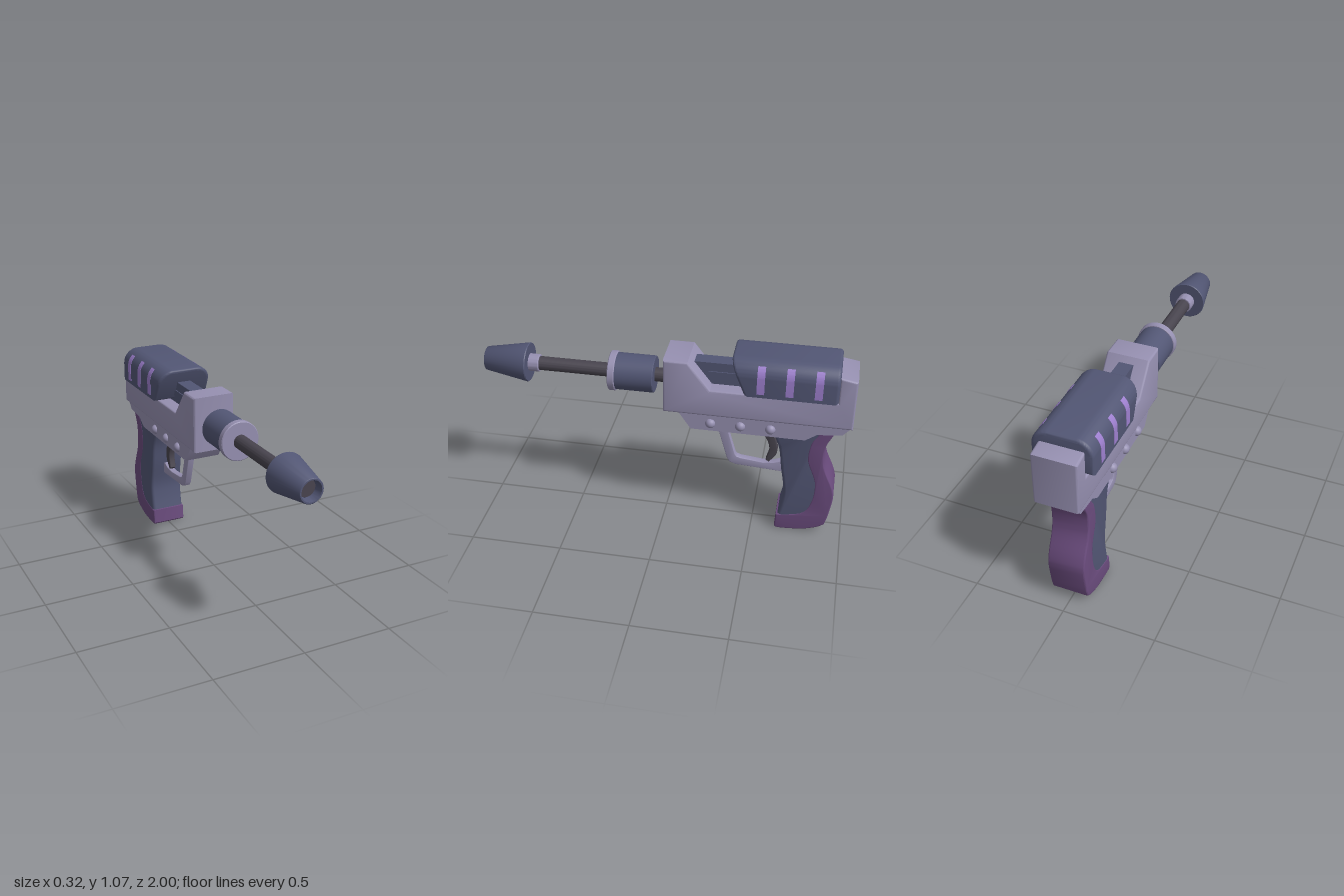
import * as THREE from 'three';
import { toCreasedNormals } from 'three/addons/utils/BufferGeometryUtils.js';

const material = (name, color) => {
  const m = new THREE.MeshStandardMaterial({ color });
  m.name = name;
  return m;
};

export function createModel() {
  const model = new THREE.Group();
  model.name = 'toyBlaster';
  const lavender = material('pale lavender', 0x9690b1);
  const blue = material('slate blue', 0x525674);
  const purple = material('grip purple', 0x6b4c7e);
  const violet = material('bright violet', 0x9d7fce);
  const dark = material('dark metal', 0x48444e);

  const add = (name, geometry, mat) => {
    const mesh = new THREE.Mesh(geometry, mat);
    mesh.name = name;
    model.add(mesh);
    return mesh;
  };
  const vectors = (points) => points.map(([a, b]) => new THREE.Vector2(a, b));
  const smooth = (points, n = 24) => new THREE.SplineCurve(vectors(points)).getPoints(n).map((p) => [p.x, p.y]);

  // Side outline in (z, y), extruded across x about the centre plane
  const slab = (name, outline, half, bevel, mat) => {
    const g = new THREE.ExtrudeGeometry(new THREE.Shape(vectors(outline)), {
      depth: 2 * (half - bevel), bevelEnabled: bevel > 0, bevelThickness: bevel,
      bevelSize: bevel, bevelOffset: -bevel, bevelSegments: 3,
    });
    g.translate(0, 0, bevel - half);
    g.rotateY(-Math.PI / 2);
    return add(name, toCreasedNormals(g, 0.6), mat);
  };

  // Turned part along the barrel axis, profile in (radius, z)
  const AXIS = 0.865;
  const turned = (name, profile, mat) => {
    const g = new THREE.LatheGeometry(vectors(profile), 40);
    g.rotateX(Math.PI / 2);
    g.translate(0, AXIS, 0);
    return add(name, toCreasedNormals(g, 0.7), mat);
  };
  const drum = (name, r, z0, z1, mat, c = 0.004) =>
    turned(name, [[0, z0], [r - c, z0], [r, z0 + c], [r, z1 - c], [r - c, z1], [0, z1]], mat);

  // Body with a notch in its top, and the narrower frame below
  slab('body', [
    [0, 0.71], [0, 1.02], [-0.13, 1.02], [-0.25, 0.865], [-0.91, 0.865],
    [-0.91, 1.012], [-1, 0.997], [-1, 0.71],
  ], 0.119, 0.012, lavender);
  slab('lowerFrame', [
    [-0.07, 0.73], [-0.08, 0.71], [-0.15, 0.61], [-0.76, 0.61], [-0.82, 0.652],
    [-0.95, 0.665], [-0.99, 0.71], [-0.98, 0.73],
  ], 0.102, 0, lavender);
  for (const side of [1, -1]) {
    for (const z of [-0.255, -0.415, -0.575]) {
      add('stud', new THREE.SphereGeometry(0.028, 20, 14), lavender).position.set(side * 0.097, 0.655, z);
    }
  }

  // Rail in the notch, with a rib on each flank
  slab('rail', [[-0.14, 0.85], [-0.155, 0.99], [-0.88, 0.99], [-0.905, 0.85]], 0.04, 0, blue);
  slab('railRib', [[-0.23, 0.905], [-0.23, 0.94], [-0.6, 0.94], [-0.6, 0.905]], 0.046, 0, blue);

  // Top cover: rounded section along z, with a raked front
  const W = 0.16, TOP = 1.07, LOW = 0.88, R = 0.09, B = 0.018;
  const section = new THREE.Shape();
  section.moveTo(-W, LOW);
  section.lineTo(W, LOW);
  section.lineTo(W, TOP - R);
  section.absarc(W - R, TOP - R, R, 0, Math.PI / 2);
  section.absarc(R - W, TOP - R, R, Math.PI / 2, Math.PI);
  section.closePath();
  const cover = new THREE.ExtrudeGeometry(section, {
    depth: 0.56 - 2 * B, bevelThickness: B, bevelSize: B, bevelOffset: -B, bevelSegments: 4, curveSegments: 10,
  });
  cover.translate(0, 0, B - 0.912);
  const p = cover.attributes.position;
  for (let i = 0; i < p.count; i++) {
    if (p.getZ(i) > -0.6) p.setZ(i, p.getZ(i) - (TOP - p.getY(i)) * 0.42);
  }
  add('topCover', toCreasedNormals(cover, 0.6), blue);

  // Violet vents wrapping over the cover's shoulders
  const T = 0.004, SWEEP = 0.85;
  const vent = new THREE.Shape();
  vent.moveTo(W - T, 0.9);
  vent.lineTo(W + T / 2, 0.9);
  vent.absarc(W - R, TOP - R, R + T / 2, 0, SWEEP);
  vent.absarc(W - R, TOP - R, R - T, SWEEP, 0, true);
  vent.closePath();
  for (const turn of [0, Math.PI]) {
    for (const z of [-0.515, -0.663, -0.81]) {
      const g = new THREE.ExtrudeGeometry(vent, { depth: 0.04, bevelEnabled: false, curveSegments: 8 });
      g.translate(0, 0, -0.02);
      g.rotateY(turn);
      add('vent', toCreasedNormals(g, 0.6), violet).position.z = z;
    }
  }

  // Barrel and muzzle
  drum('barrelRod', 0.038, -0.02, 0.8, dark);
  drum('barrelSleeve', 0.1, 0.06, 0.275, blue);
  drum('sleeveRing', 0.108, 0.267, 0.305, lavender);
  drum('muzzleCollar', 0.048, 0.7, 0.78, lavender);
  turned('muzzle', [[0, 0.757], [0.104, 0.757], [0.107, 0.762], [0.065, 0.997], [0.062, 1],
    [0.055, 1], [0.044, 0.94]], blue);
  drum('bore', 0.05, 0.9, 0.955, dark);

  // Trigger and its guard
  slab('triggerGuard', [
    [-0.278, 0.62], [-0.278, 0.604], [-0.342, 0.385], [-0.358, 0.36], [-0.39, 0.348], [-0.66, 0.332],
    [-0.66, 0.4], [-0.636, 0.4], [-0.6, 0.386], [-0.54, 0.38], [-0.417, 0.394], [-0.394, 0.402],
    [-0.385, 0.417], [-0.337, 0.58], [-0.35, 0.604], [-0.35, 0.62],
  ], 0.019, 0.003, lavender);
  slab('trigger', [
    ...smooth([[-0.48, 0.615], [-0.548, 0.545], [-0.572, 0.476], [-0.556, 0.4]], 12),
    ...smooth([[-0.572, 0.386], [-0.615, 0.45], [-0.605, 0.53], [-0.575, 0.615]], 12),
  ], 0.018, 0.004, dark);

  // Grip core, tucked into the purple back strap and foot
  slab('gripCore', [
    ...smooth([[-0.59, 0.63], [-0.628, 0.53], [-0.647, 0.4], [-0.668, 0.27], [-0.662, 0.18], [-0.642, 0.075]]),
    [-0.66, 0.05], [-0.8, 0.06],
    ...smooth([[-0.87, 0.14], [-0.89, 0.3], [-0.835, 0.45], [-0.83, 0.58], [-0.86, 0.68]], 16),
  ], 0.098, 0.018, blue);
  slab('gripBackAndFoot', [
    ...smooth([[-0.84, 0.69], [-0.822, 0.64], [-0.793, 0.585], [-0.785, 0.475], [-0.832, 0.34],
      [-0.825, 0.21], [-0.775, 0.125], [-0.638, 0.095]], 30),
    [-0.632, 0.012], [-0.642, 0.002], [-0.66, 0],
    ...smooth([[-0.7, 0.001], [-0.79, 0.01], [-0.87, 0.035], [-0.908, 0.06]], 10),
    ...smooth([[-0.92, 0.1], [-0.941, 0.24], [-0.928, 0.32], [-0.875, 0.45], [-0.872, 0.57], [-0.905, 0.65],
      [-0.92, 0.69]], 30),
  ], 0.1, 0.008, purple);

  return model;
}
